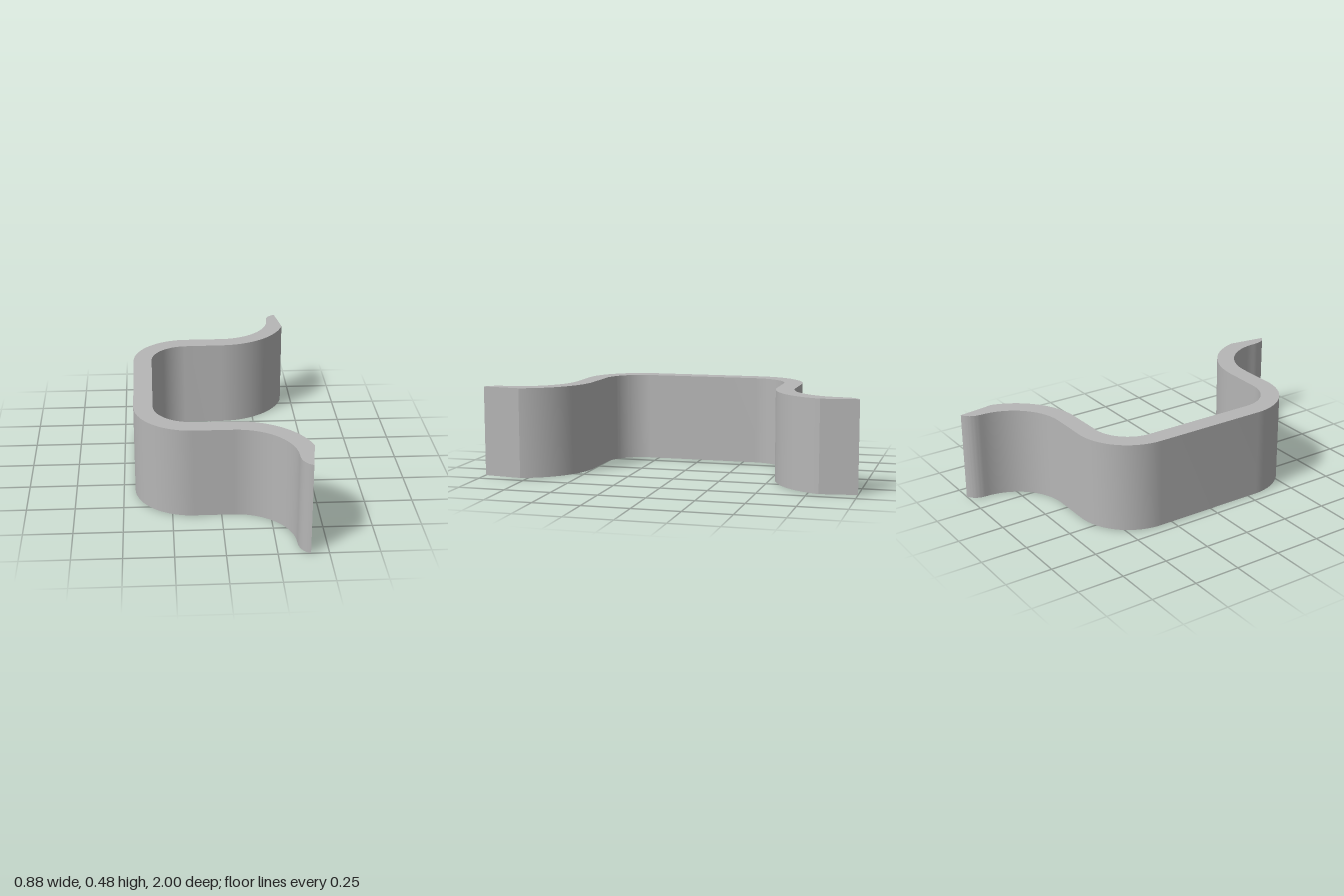
import * as THREE from 'three';
import { toCreasedNormals } from 'three/addons/utils/BufferGeometryUtils.js';

export function createModel() {
  const HEIGHT = 0.48, Q = Math.PI / 2;
  const BEND_X = -0.14, FLARE_X = 0.06;      // centres of the back bends and flared arms
  const BACK_Z = 0.315, FRONT_Z = 0.30;      // bend centre distances
  const BACK_FLARE = 0.91, FRONT_FLARE = 0.895;
  const R_OUT = 0.30, R_IN = 0.20;           // bend radii
  const F_OUT = 0.295, F_IN = 0.392;         // flare radii
  const TIP = 0.267;                         // angle at which the inner flare stops

  const steel = new THREE.MeshStandardMaterial({ color: 0xb6b6b6 });
  steel.name = 'grey metal';

  // Plan outline; shape y is world -z
  const s = new THREE.Shape();
  // outer side, from the back tip round to the front tip
  s.moveTo(0.41, 1);
  s.quadraticCurveTo(0.355, 0.975, 0.355, BACK_FLARE);
  s.absarc(FLARE_X, BACK_FLARE, F_OUT, 0, -Q, true);
  s.absarc(BEND_X, BACK_Z, R_OUT, Q, 2 * Q, false);
  s.absarc(BEND_X, -FRONT_Z, R_OUT, 2 * Q, 3 * Q, false);
  s.absarc(FLARE_X, -FRONT_FLARE, F_OUT, Q, 0, true);
  s.quadraticCurveTo(0.355, -0.975, 0.41, -1);
  // inner side, back again
  s.absarc(FLARE_X, -FRONT_FLARE, F_IN, TIP, Q, false);
  s.absarc(BEND_X, -FRONT_Z, R_IN, 3 * Q, 2 * Q, true);
  s.absarc(BEND_X, BACK_Z, R_IN, 2 * Q, Q, true);
  s.absarc(FLARE_X, BACK_FLARE, F_IN, -Q, -TIP, false);
  s.closePath();

  // Extruded strip stood on the ground
  const strip = new THREE.ExtrudeGeometry(s, { depth: HEIGHT, bevelEnabled: false, curveSegments: 16 });
  strip.rotateX(-Q);
  const clip = new THREE.Mesh(toCreasedNormals(strip, 0.33), steel);
  clip.name = 'bentClipStrip';

  const group = new THREE.Group();
  group.name = 'springClip';
  group.add(clip);
  return group;
}
